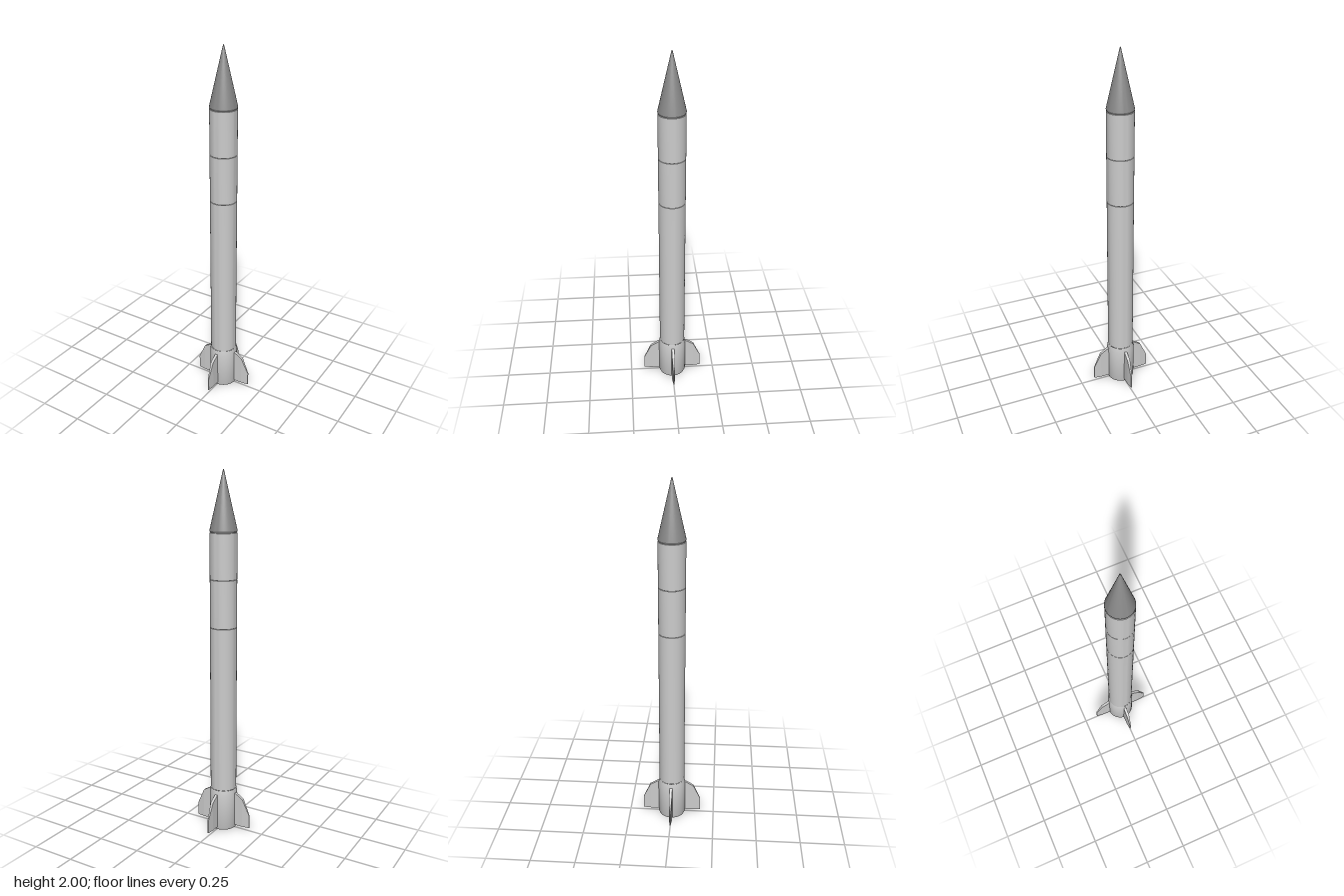
import * as THREE from 'three';
import { toCreasedNormals } from 'three/addons/utils/BufferGeometryUtils.js';

const SIDES = 48;

// Lathe a [radius, height] profile (listed bottom to top on the outside), keeping sharp edges
function turned(name, profile, material) {
  const points = profile.map(([r, y]) => new THREE.Vector2(r, y));
  const geometry = toCreasedNormals(new THREE.LatheGeometry(points, SIDES), 0.45);
  const mesh = new THREE.Mesh(geometry, material);
  mesh.name = name;
  return mesh;
}

// Fin: a box cut into three columns, each station given its own x, top height and half thickness
function finGeometry() {
  const stations = [
    [0.07, 0.215, 0.008],
    [0.083, 0.215, 0.008],
    [0.128, 0.187, 0.008],
    [0.17, 0.095, 0.003],
  ];
  const box = new THREE.BoxGeometry(3, 1, 1, 3, 1, 1);
  const pos = box.attributes.position;
  for (let i = 0; i < pos.count; i++) {
    const [x, top, half] = stations[Math.round(pos.getX(i) + 1.5)];
    pos.setXYZ(i, x, pos.getY(i) > 0 ? top : 0.018, Math.sign(pos.getZ(i)) * half);
  }
  const flat = box.toNonIndexed();
  flat.computeVertexNormals();
  return flat;
}

export function createModel() {
  const model = new THREE.Group();
  model.name = 'rocket';
  const grey = new THREE.MeshStandardMaterial({ color: 0xcccccc });
  const dark = new THREE.MeshStandardMaterial({ color: 0x888888 });
  const R = 0.073;

  // Tail section with a recessed base, chamfered rim and a slight flare
  model.add(turned('tailSection', [
    [0, 0.02], [0.066, 0.02], [0.066, 0], [0.074, 0], [0.079, 0.012],
    [0.079, 0.21], [R, 0.24],
  ], grey));

  // Body tubes, separated by fine seams
  const seams = [0.24, 1.175, 1.435, 1.68];
  ['lowerBody', 'middleBody', 'upperBody'].forEach((name, i) => {
    const y0 = seams[i], y1 = seams[i + 1], g = 0.0015;
    model.add(turned(name, [
      [R - g, y0], [R, y0 + g], [R, y1 - g], [R - g, y1], [0, y1],
    ], grey));
  });

  // Pointed nose cone
  model.add(turned('noseCone', [
    [0, 1.68], [0.07, 1.68], [0.0735, 1.69], [0.003, 1.995], [0, 2],
  ], dark));

  // Four tail fins
  const fin = finGeometry();
  for (let i = 0; i < 4; i++) {
    const mesh = new THREE.Mesh(fin, grey);
    mesh.name = 'fin' + (i + 1);
    mesh.rotation.y = (i * Math.PI) / 2;
    model.add(mesh);
  }
  return model;
}
